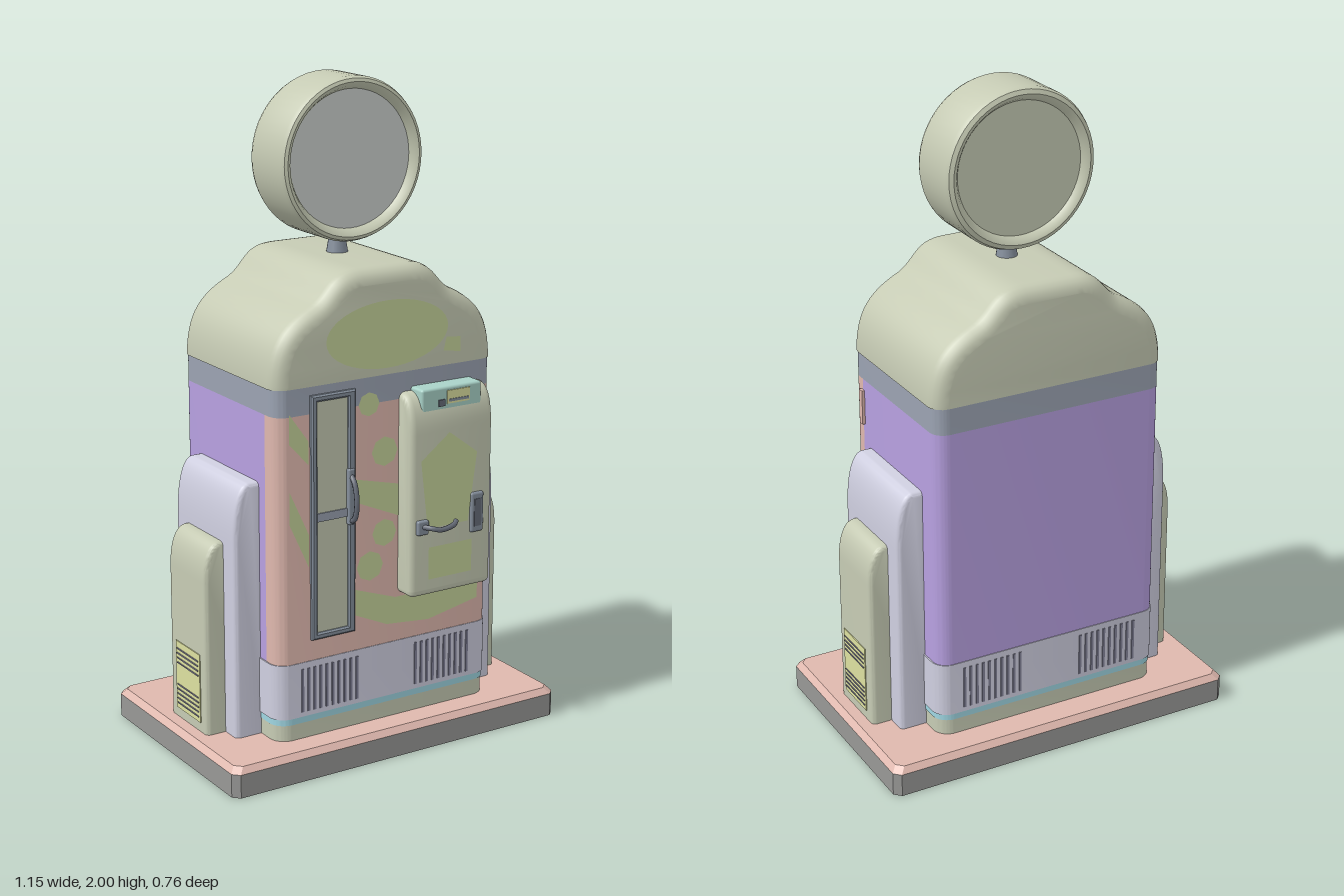
import * as THREE from 'three';
import { toCreasedNormals } from 'three/addons/utils/BufferGeometryUtils.js';
import { RoundedBoxGeometry } from 'three/addons/geometries/RoundedBoxGeometry.js';

const mat = (color, side = THREE.FrontSide) => new THREE.MeshStandardMaterial({ color, side });
const M = {
  sage: mat(0xc6cbb4), lavender: mat(0xcfcfe0), purple: mat(0xb7a0e0), pink: mat(0xdfb8ae),
  band: mat(0x9ba3b2), cyan: mat(0x9fd6e2), teal: mat(0xa9d2c8), metal: mat(0x858f9c),
  dark: mat(0x666c78), lime: mat(0xc8d69c, THREE.DoubleSide), yellow: mat(0xdde0a0),
  skirt: mat(0x989896), inside: mat(0xdfb8ae, THREE.BackSide), topPink: mat(0xdfb8ae, THREE.DoubleSide),
  face: mat(0xcdd2cf), slot: mat(0x84849a),
};
const FRONT = 0.265, BACK = -0.28;

export function createModel() {
  const root = new THREE.Group();
  const add = (name, geo, material, x = 0, y = 0, z = 0) => {
    const m = new THREE.Mesh(geo, material);
    m.name = name;
    m.position.set(x, y, z);
    root.add(m);
    return m;
  };
  const box = (name, material, x0, x1, y0, y1, z0, z1, r = 0) => {
    const s = [x1 - x0, y1 - y0, z1 - z0];
    const g = r ? new RoundedBoxGeometry(...s, 3, r) : new THREE.BoxGeometry(...s);
    return add(name, g, material, (x0 + x1) / 2, (y0 + y1) / 2, (z0 + z1) / 2);
  };
  // Extrusion centred on z, with its rounded edges kept inside the outline
  const softExtrude = (shape, depth, bevel, minY = -Infinity) => {
    const g = new THREE.ExtrudeGeometry(shape, {
      depth: depth - 2 * bevel, bevelSize: bevel, bevelThickness: bevel,
      bevelOffset: -bevel, bevelSegments: 4, curveSegments: 14,
    });
    g.translate(0, 0, bevel - depth / 2);
    const p = g.attributes.position;
    for (let i = 0; i < p.count; i++) p.setY(i, Math.max(minY, p.getY(i)));
    return toCreasedNormals(g, 0.6);
  };
  // Horizontal slab of the cabinet, with separate front and back corner radii
  const slab = (name, material, hx, zf, zb, rf, rb, y0, y1) => {
    const s = new THREE.Shape();
    s.moveTo(-hx + rf, -zf).lineTo(hx - rf, -zf);
    if (rf) s.absarc(hx - rf, -zf + rf, rf, -Math.PI / 2, 0);
    s.lineTo(hx, -zb - rb);
    if (rb) s.absarc(hx - rb, -zb - rb, rb, 0, Math.PI / 2);
    s.lineTo(-hx + rb, -zb);
    if (rb) s.absarc(-hx + rb, -zb - rb, rb, Math.PI / 2, Math.PI);
    s.lineTo(-hx, -zf + rf);
    if (rf) s.absarc(-hx + rf, -zf + rf, rf, Math.PI, Math.PI * 1.5);
    const g = new THREE.ExtrudeGeometry(s, { depth: y1 - y0, bevelEnabled: false, curveSegments: 8 });
    g.rotateX(-Math.PI / 2);
    return add(name, toCreasedNormals(g, 0.6), material, 0, y0, 0);
  };

  // Hollow plinth with cut corners and a chamfered top
  const ring = (inset, y) => {
    const x = 0.575 - inset, f = 0.355 - inset, b = -0.38 + inset, c = 0.02;
    return [[-x + c, f], [x - c, f], [x, f - c], [x, b + c], [x - c, b], [-x + c, b], [-x, b + c], [-x, f - c]]
      .map(([px, pz]) => [px, y, pz]);
  };
  const strip = (a, b) => {
    const v = [];
    a.forEach((p, i) => {
      const j = (i + 1) % a.length;
      v.push(...p, ...a[j], ...b[j], ...p, ...b[j], ...b[i]);
    });
    const g = new THREE.BufferGeometry();
    g.setAttribute('position', new THREE.Float32BufferAttribute(v, 3));
    g.computeVertexNormals();
    return g;
  };
  const skirt = strip(ring(0, 0), ring(0, 0.072));
  add('plinthSkirt', skirt, M.skirt);
  add('plinthInside', skirt, M.inside);
  add('plinthChamfer', strip(ring(0, 0.072), ring(0.016, 0.09)), M.topPink);
  add('plinthTop', strip(ring(0.016, 0.09), Array(8).fill([0, 0.09, -0.0125])), M.topPink);

  // Cabinet
  slab('cabinetFoot', M.sage, 0.375, FRONT - 0.002, BACK + 0.002, 0.05, 0.05, 0.09, 0.14);
  slab('cyanTrim', M.cyan, 0.377, FRONT, BACK, 0.05, 0.05, 0.14, 0.16);
  slab('lowerBand', M.lavender, 0.38, FRONT + 0.002, BACK - 0.002, 0.05, 0.05, 0.16, 0.33);
  slab('frontPanel', M.pink, 0.376, FRONT, 0.2, 0.045, 0, 0.33, 1.08);
  slab('rearPanel', M.purple, 0.376, 0.2, BACK, 0, 0.045, 0.33, 1.08);
  slab('upperBand', M.band, 0.376, FRONT, BACK, 0.045, 0.045, 1.08, 1.16);

  // Shouldered cap
  const cap = new THREE.Shape();
  cap.moveTo(-0.38, 1.09).lineTo(0.38, 1.09).lineTo(0.38, 1.17);
  cap.bezierCurveTo(0.375, 1.29, 0.33, 1.34, 0.235, 1.385);
  cap.bezierCurveTo(0.18, 1.415, 0.18, 1.475, 0.08, 1.475);
  cap.lineTo(-0.08, 1.475);
  cap.bezierCurveTo(-0.18, 1.475, -0.18, 1.415, -0.235, 1.385);
  cap.bezierCurveTo(-0.33, 1.34, -0.375, 1.29, -0.38, 1.17);
  add('cap', softExtrude(cap, FRONT - BACK, 0.045, 1.16), M.sage, 0, 0, (FRONT + BACK) / 2);

  // Neck and round sign, recessed on both sides
  add('neck', new THREE.CylinderGeometry(0.022, 0.034, 0.07, 20), M.metal, 0, 1.5, -0.008);
  const lathe = (pts) => toCreasedNormals(
    new THREE.LatheGeometry(pts.map(([r, h]) => new THREE.Vector2(r, h)), 56).rotateX(Math.PI / 2), 0.6);
  add('signDrum', lathe([[0, -0.085], [0.2, -0.085], [0.21, -0.1], [0.222, -0.106], [0.235, -0.1], [0.241, -0.085],
    [0.241, 0.07], [0.235, 0.084], [0.225, 0.088], [0.213, 0.08], [0.203, 0.062], [0, 0.062]]), M.sage, 0, 1.759, 0);
  add('signFace', new THREE.CircleGeometry(0.203, 56), M.face, 0, 1.759, 0.065);

  // Stepped side pods with louvred vents
  for (const s of [-1, 1]) {
    const pod = (name, material, w, top, shoulder, zf, zb) => {
      const p = new THREE.Shape();
      p.moveTo(0.35, 0.05).lineTo(w, 0.05).lineTo(w, top - shoulder);
      p.bezierCurveTo(w, top - shoulder * 0.4, w - 0.02, top, w - 0.055, top);
      p.lineTo(0.35, top);
      const g = softExtrude(p, zf - zb, 0.015, 0.09);
      if (s < 0) g.rotateY(Math.PI);
      add(name, g, material, 0, 0, (zf + zb) / 2);
    };
    pod('innerPod', M.lavender, 0.46, 0.87, 0.17, 0.165, -0.185);
    pod('outerPod', M.sage, 0.523, 0.685, 0.12, 0.1, -0.12);
    const side = (name, m, x0, x1, ...r) => box(name, m, Math.min(s * x0, s * x1), Math.max(s * x0, s * x1), ...r);
    side('podVent', M.yellow, 0.51, 0.526, 0.12, 0.335, -0.08, 0.065);
    for (let i = 0; i < 9; i++) {
      const y = 0.135 + i * 0.015 + (i > 4 ? 0.055 : 0);
      side('podVentSlat', M.slot, 0.52, 0.528, y, y + 0.004, -0.072, 0.057);
    }
    // Panel hinges on the seam
    if (s > 0) for (const y of [0.935, 0.325]) side('panelHinge', M.pink, 0.37, 0.385, y, y + 0.11, 0.19, 0.21);
    // Lower grille slots, front and back
    for (let i = 0; i < 10; i++) {
      const x = s * (0.105 + i * 0.021);
      for (const z of [FRONT + 0.002, BACK - 0.002])
        box('grilleSlot', M.slot, x - 0.004, x + 0.004, 0.175, 0.31, z - 0.003, z + 0.003);
    }
  }

  // Painted shapes on the front
  const decal = (name, pts, z) => add(name, new THREE.ShapeGeometry(
    new THREE.Shape(pts.map(([x, y]) => new THREE.Vector2(x, y)))), M.lime, 0, 0, z);
  const oval = add('capOval', new THREE.CircleGeometry(1, 40), M.lime, 0, 1.28, FRONT + 0.002);
  oval.scale.set(0.21, 0.1, 1);
  decal('capPatch', [[0.195, 1.205], [0.255, 1.195], [0.255, 1.24], [0.205, 1.245]], FRONT + 0.002);
  for (const [x, y, r] of [[-0.065, 1.08, 0.036], [-0.01, 0.93, 0.045], [-0.01, 0.68, 0.042], [-0.06, 0.585, 0.046]])
    add('paintedDot', new THREE.CircleGeometry(r, 8), M.lime, x, y, FRONT + 0.002);
  decal('upperFlash', [[-0.335, 1.09], [-0.27, 1.0], [-0.27, 0.93], [-0.335, 1.0]], FRONT + 0.002);
  decal('leftFlash', [[-0.335, 0.86], [-0.27, 0.72], [-0.27, 0.62], [-0.335, 0.76]], FRONT + 0.002);
  decal('middleFlash', [[-0.11, 0.86], [0.05, 0.82], [0.05, 0.72], [-0.11, 0.79]], FRONT + 0.002);
  decal('lowerFlash', [[-0.11, 0.52], [0.03, 0.47], [0.33, 0.47], [0.33, 0.41], [0.15, 0.375], [0, 0.39], [-0.11, 0.44]], FRONT + 0.002);

  // Tall display window
  const rect = (S, x0, x1, y0, y1) => new S().moveTo(x0, y0).lineTo(x1, y0).lineTo(x1, y1).lineTo(x0, y1).closePath();
  const frame = rect(THREE.Shape, -0.265, -0.115, 0.395, 1.135);
  frame.holes.push(rect(THREE.Path, -0.245, -0.14, 0.415, 1.115));
  add('windowFrame', new THREE.ExtrudeGeometry(frame, {
    depth: 0.012, bevelSize: 0.005, bevelThickness: 0.005, bevelOffset: -0.005, bevelSegments: 1,
  }), M.metal, 0, 0, FRONT - 0.004);
  box('windowPane', M.sage, -0.246, -0.139, 0.414, 1.116, FRONT - 0.01, FRONT + 0.004);
  box('windowBar', M.band, -0.246, -0.139, 0.755, 0.78, FRONT, FRONT + 0.008);
  box('windowHandlePlate', M.metal, -0.143, -0.12, 0.73, 0.9, FRONT, FRONT + 0.018, 0.005);
  const rod = (name, pts, r) => add(name, new THREE.TubeGeometry(
    new THREE.CatmullRomCurve3(pts.map((p) => new THREE.Vector3(...p))), 20, r, 8), M.dark);
  rod('windowHandle', [[-0.132, 0.88, 0.275], [-0.132, 0.86, 0.295], [-0.132, 0.8, 0.308], [-0.132, 0.75, 0.295], [-0.132, 0.74, 0.275]], 0.008);

  // Service door, its top rolling back to the cabinet
  const door = new THREE.Shape();
  door.moveTo(0.235, 0.48).lineTo(0.315, 0.48).quadraticCurveTo(0.33, 0.48, 0.33, 0.5).lineTo(0.33, 0.98);
  door.bezierCurveTo(0.33, 1.05, 0.31, 1.1, 0.265, 1.1).lineTo(0.235, 1.1);
  add('serviceDoor', softExtrude(door, 0.295, 0.02).rotateY(-Math.PI / 2), M.sage, 0.1875, 0, 0);
  decal('doorPentagon', [[0.1, 0.69], [0.245, 0.69], [0.275, 0.9], [0.175, 0.975], [0.075, 0.9]], 0.332);
  decal('doorSquare', [[0.105, 0.53], [0.26, 0.53], [0.26, 0.63], [0.105, 0.63]], 0.332);
  for (const y of [0.89, 0.59]) box('doorHinge', M.purple, 0.325, 0.348, y, y + 0.1, 0.25, 0.285, 0.006);
  box('doorLatchPlate', M.metal, 0.253, 0.3, 0.65, 0.775, 0.32, 0.338, 0.008);
  box('doorLatchSlot', M.dark, 0.264, 0.289, 0.67, 0.755, 0.335, 0.34);
  box('doorHandleMount', M.metal, 0.06, 0.1, 0.675, 0.72, 0.325, 0.342, 0.006);
  rod('doorHandle', [[0.08, 0.7, 0.335], [0.095, 0.7, 0.362], [0.12, 0.695, 0.373], [0.17, 0.7, 0.366], [0.188, 0.705, 0.352]], 0.008);

  // Counter box above the door
  box('counterBox', M.teal, 0.082, 0.295, 1.03, 1.112, 0.25, 0.322, 0.008);
  box('counterLabel', M.yellow, 0.17, 0.25, 1.06, 1.1, 0.318, 0.325);
  box('counterTag', M.dark, 0.14, 0.162, 1.055, 1.075, 0.318, 0.326);
  box('counterSlot', M.metal, 0.175, 0.245, 1.066, 1.074, 0.32, 0.327);

  return root;
}
